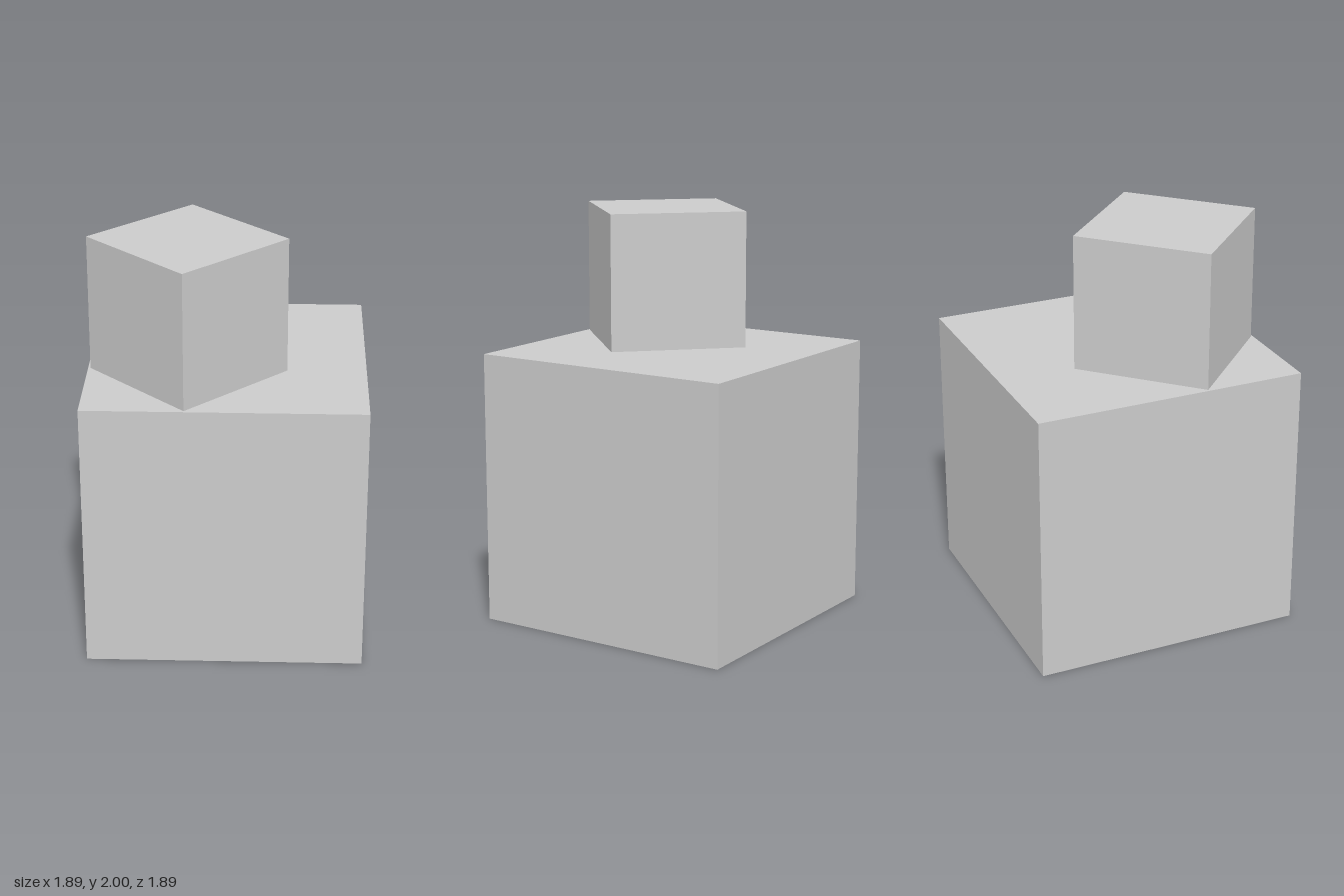
import * as THREE from 'three';

const material = new THREE.MeshStandardMaterial({ color: 0xcccccc, flatShading: true });

// Cube of a given side, resting on height y
function cube(name, side, y, z, turn) {
  const mesh = new THREE.Mesh(new THREE.BoxGeometry(side, side, side), material);
  mesh.name = name;
  mesh.position.set(0, y + side / 2, z);
  mesh.rotation.y = turn;
  return mesh;
}

export function createModel() {
  const group = new THREE.Group();
  group.name = 'stackedCubes';
  const large = 4 / 3;
  const small = 2 / 3;

  // Large cube, turned so that an edge faces the front
  group.add(cube('baseCube', large, 0, 0, Math.PI / 4));

  // Small cube on top, square to the front and set forward
  group.add(cube('topCube', small, large, 0.26, 0));

  return group;
}
